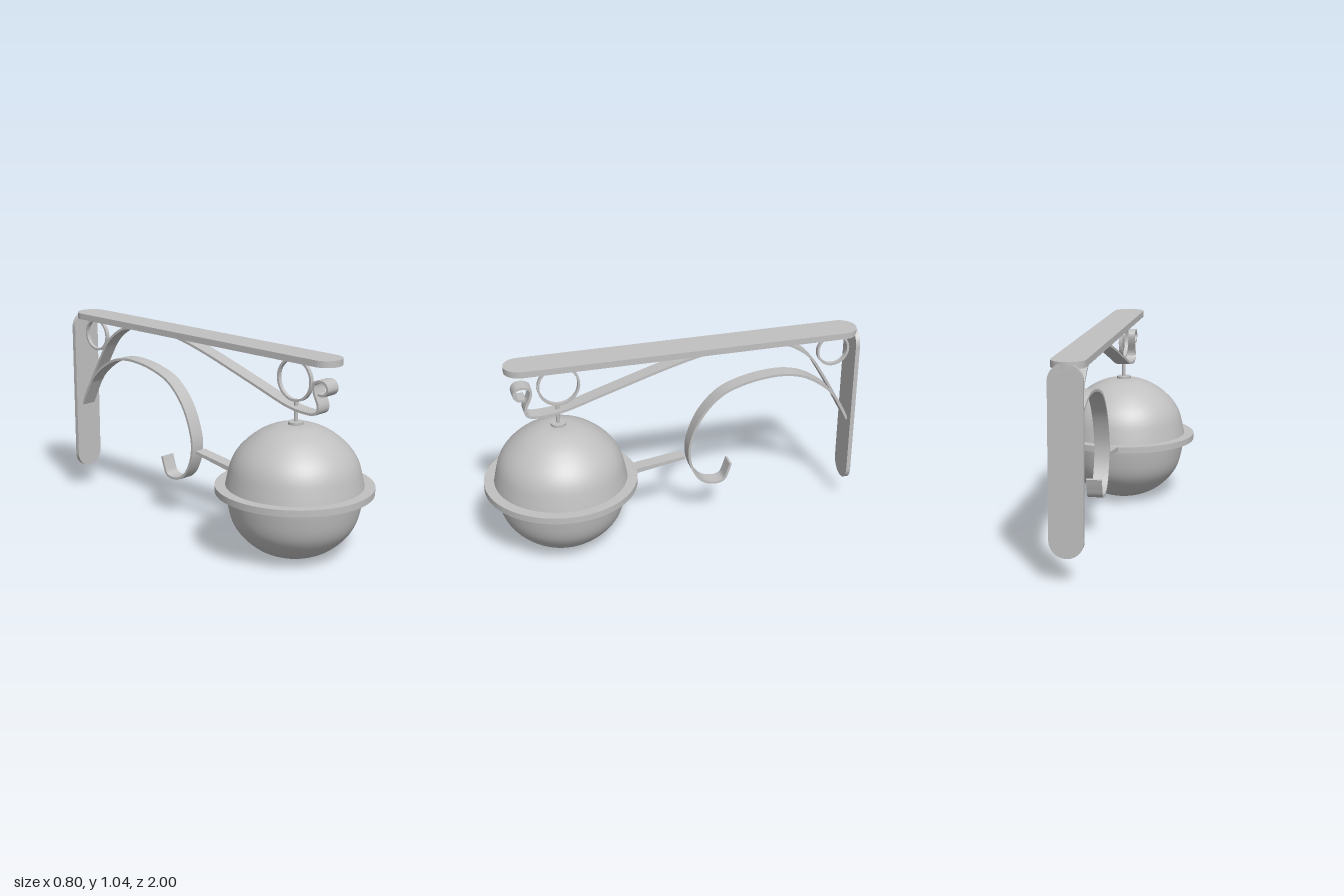
import * as THREE from 'three';
import { toCreasedNormals } from 'three/addons/utils/BufferGeometryUtils.js';

export function createModel() {
  const group = new THREE.Group();
  const metal = new THREE.MeshStandardMaterial({ color: 0xc0c0c0 });
  metal.name = 'grey metal';

  const add = (name, geometry) => {
    const mesh = new THREE.Mesh(geometry, metal);
    mesh.name = name;
    group.add(mesh);
    return mesh;
  };

  // Extrude a (z, y) side outline across x, centred on x = 0
  const sideExtrude = (shape, width, curveSegments = 12) => {
    const g = new THREE.ExtrudeGeometry(shape, { depth: width, bevelEnabled: false, curveSegments });
    g.translate(0, 0, -width / 2);
    g.rotateY(-Math.PI / 2);
    return toCreasedNormals(g, 0.6);
  };

  // Flat metal strip following a smooth (z, y) path
  const strip = (name, path, width = 0.08, thick = 0.013) => {
    const curve = new THREE.SplineCurve(path.map(([z, y]) => new THREE.Vector2(z, y)));
    const n = path.length * 8;
    const left = [], right = [];
    for (let i = 0; i <= n; i++) {
      const p = curve.getPoint(i / n);
      const t = curve.getTangent(i / n);
      const normal = new THREE.Vector2(-t.y, t.x).multiplyScalar(thick / 2);
      left.push(p.clone().add(normal));
      right.unshift(p.clone().sub(normal));
    }
    return add(name, sideExtrude(new THREE.Shape([...left, ...right]), width));
  };

  // Narrow decorative hoop in the side plane
  const hoop = (name, z, y, radius) => {
    const shape = new THREE.Shape().absarc(z, y, radius, 0, Math.PI * 2);
    shape.holes.push(new THREE.Path().absarc(z, y, radius - 0.012, 0, Math.PI * 2, true));
    return add(name, sideExtrude(shape, 0.02, 48));
  };

  // Long plate with round ends
  const plate = (from, to, depth) => {
    const r = 0.083;
    const s = new THREE.Shape();
    s.absarc(0, to - r, r, 0, Math.PI);
    s.absarc(0, from + r, r, Math.PI, Math.PI * 2);
    s.closePath();
    const g = new THREE.ExtrudeGeometry(s, { depth, bevelEnabled: false, curveSegments: 24 });
    return toCreasedNormals(g, 0.6);
  };

  // Wall plate and top arm
  add('wallPlate', plate(0.13, 1.04, 0.023)).position.z = -0.998;
  const arm = plate(-1, 0.862, 0.033);
  arm.rotateX(Math.PI / 2);
  add('topArm', arm).position.y = 1.045;

  // Scrolled strips
  strip('frontScroll', [
    [0.765, 0.866], [0.8, 0.866], [0.823, 0.893], [0.808, 0.926], [0.77, 0.931], [0.738, 0.914],
    [0.742, 0.872], [0.768, 0.81], [0.757, 0.772], [0.7, 0.761], [0.57, 0.777], [0.356, 0.845],
    [0.035, 0.947], [-0.17, 1.0], [-0.29, 1.013],
  ]);
  strip('rearBrace', [
    [-0.46, 1.013], [-0.56, 1.005], [-0.64, 0.984], [-0.74, 0.91], [-0.82, 0.79],
    [-0.91, 0.63], [-0.976, 0.505],
  ]);
  strip('hookStrip', [
    [-0.976, 0.505], [-0.92, 0.617], [-0.85, 0.708], [-0.74, 0.786], [-0.64, 0.819], [-0.53, 0.824],
    [-0.39, 0.802], [-0.26, 0.749], [-0.155, 0.637], [-0.095, 0.492], [-0.09, 0.385], [-0.122, 0.294],
    [-0.17, 0.24], [-0.233, 0.222], [-0.281, 0.235], [-0.302, 0.278], [-0.318, 0.328],
  ]);

  // Hoops under the arm
  hoop('frontHoop', 0.59, 0.906, 0.11);
  hoop('rearHoop', -0.88, 0.92, 0.09);

  // Hanging globe made of two smooth shells
  const shell = (name, profile) => {
    const pts = new THREE.SplineCurve(profile.map(([r, y]) => new THREE.Vector2(r, y))).getPoints(32);
    pts.forEach((p) => { p.x = Math.max(0, p.x); });
    add(name, new THREE.LatheGeometry(pts, 64)).position.z = 0.6;
  };
  shell('lowerShell', [
    [0, 0.005], [0.06, 0.007], [0.12, 0.02], [0.19, 0.052], [0.25, 0.1], [0.295, 0.155],
    [0.32, 0.21], [0.336, 0.28], [0.346, 0.345],
  ]);
  shell('upperShell', [
    [0.348, 0.365], [0.337, 0.42], [0.322, 0.48], [0.298, 0.53], [0.26, 0.577],
    [0.2, 0.628], [0.14, 0.661], [0.08, 0.68], [0, 0.685],
  ]);

  // Rim, cap and hanging stem
  const disc = (name, radius, bottom, top, sides) =>
    add(name, new THREE.CylinderGeometry(radius, radius, top - bottom, sides))
      .position.set(0, (top + bottom) / 2, 0.6);
  disc('rim', 0.4, 0.338, 0.372, 64);
  disc('cap', 0.039, 0.675, 0.697, 32);
  disc('stem', 0.01, 0.69, 0.8, 16);

  // Tapered handle reaching back from the rim
  const handle = new THREE.Shape([
    new THREE.Vector2(0.22, 0.345), new THREE.Vector2(0.22, 0.372),
    new THREE.Vector2(-0.062, 0.41), new THREE.Vector2(-0.062, 0.394),
  ]);
  add('handle', sideExtrude(handle, 0.07));

  return group;
}
